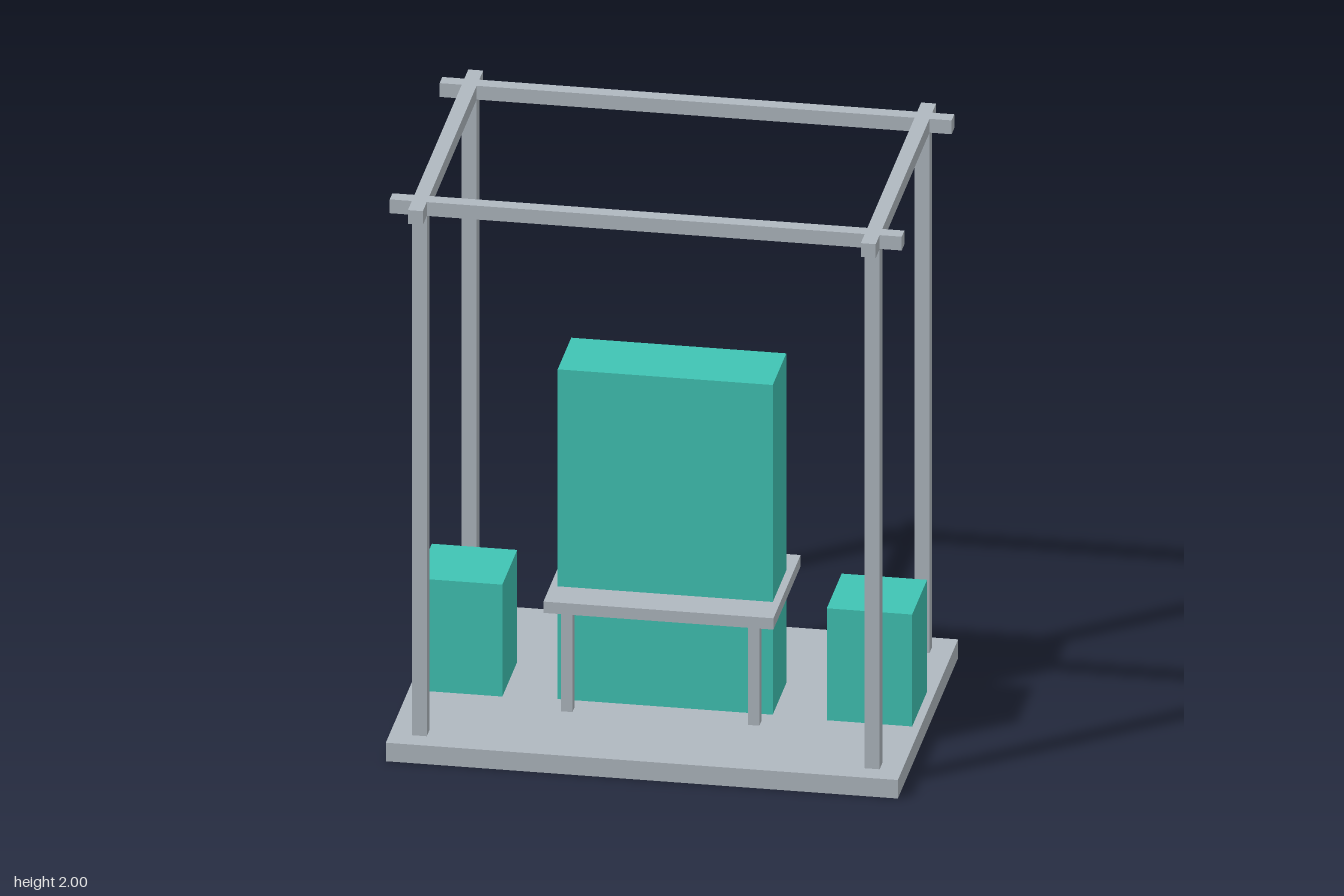
import * as THREE from 'three';

export function createModel() {
  const model = new THREE.Group();
  const grey = new THREE.MeshStandardMaterial({ name: 'grey metal', color: 0xb0b8c0 });
  const teal = new THREE.MeshStandardMaterial({ name: 'teal panel', color: 0x40c4b4 });

  // Box of size w x d, centred at (x, z), spanning heights y0 to y1
  function addBox(parent, name, material, w, d, y0, y1, x = 0, z = 0) {
    const mesh = new THREE.Mesh(new THREE.BoxGeometry(w, y1 - y0, d), material);
    mesh.name = name;
    mesh.position.set(x, (y0 + y1) / 2, z);
    parent.add(mesh);
  }

  function addGroup(name) {
    const group = new THREE.Group();
    group.name = name;
    model.add(group);
    return group;
  }

  const floor = 0.067, beam = 0.05, postX = 0.758, postZ = 0.472;
  const signs = [-1, 1];

  addBox(model, 'basePlate', grey, 1.714, 1.142, 0, floor);

  // Open frame: four posts and crossing roof beams that overhang the corners
  const frame = addGroup('frame');
  for (const s of signs) {
    for (const t of signs) addBox(frame, 'post', grey, beam, beam, floor, 1.95, s * postX, t * postZ);
    addBox(frame, 'longBeam', grey, 1.714, beam, 1.95, 2, 0, s * postZ);
    addBox(frame, 'crossBeam', grey, beam, 1.142, 1.95, 2, s * postX, 0);
  }

  // Table surrounding the tall central cabinet
  const table = addGroup('table');
  addBox(table, 'tableTop', grey, 0.77, 0.514, 0.434, 0.475);
  for (const s of signs)
    for (const t of signs) addBox(table, 'tableLeg', grey, 0.038, 0.038, floor, 0.434, s * 0.313, t * 0.204);

  // The cabinet is set into the base plate
  addBox(model, 'cabinet', teal, 0.72, 0.257, 0.003, 1.26);

  // Low blocks at either side
  for (const s of signs)
    addBox(model, s > 0 ? 'leftBlock' : 'rightBlock', teal, 0.286, 0.282, floor, 0.472, s * 0.686, 0);

  return model;
}
